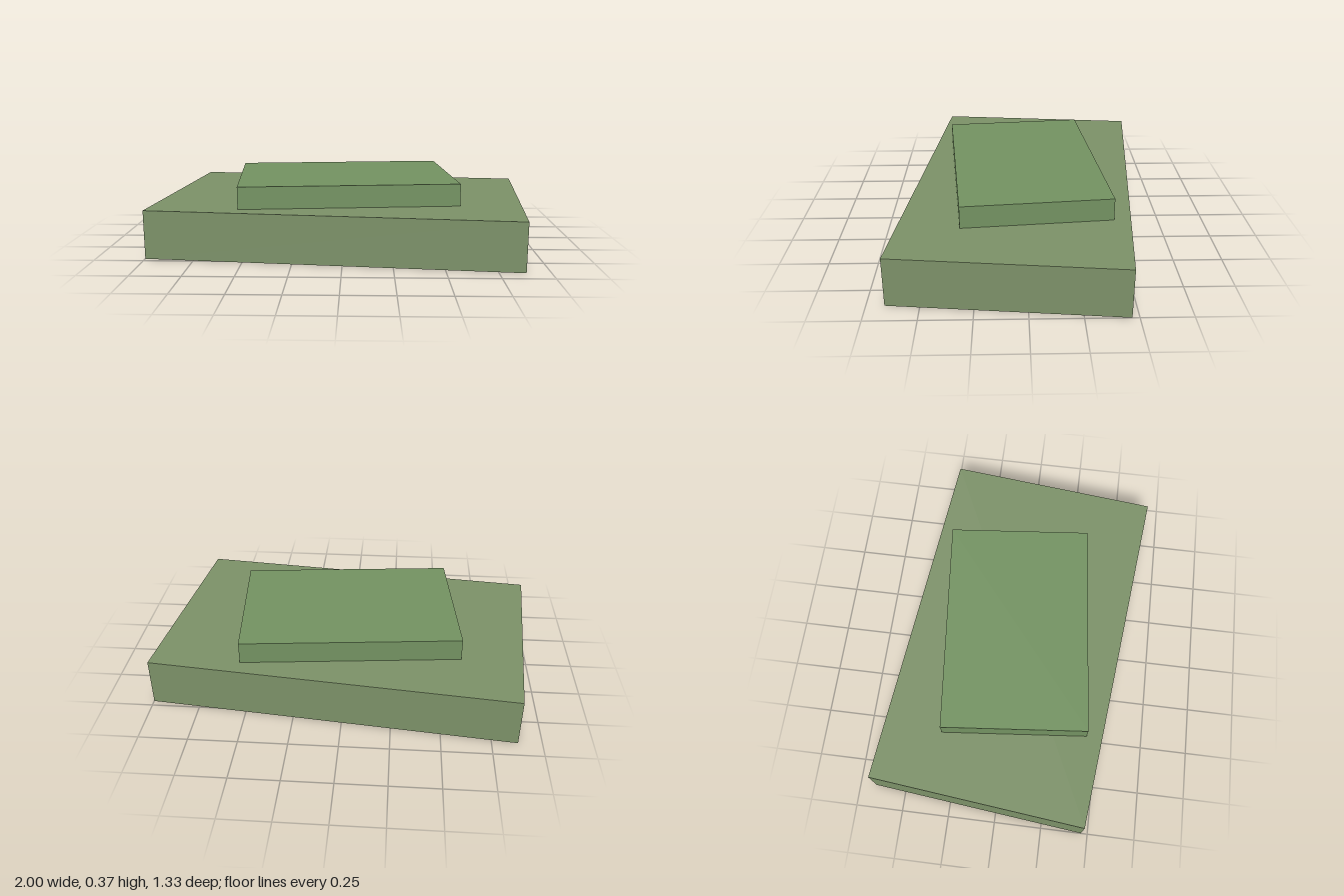
import * as THREE from 'three';

// A box resting on height y, turned about the vertical axis
function slab(name, width, height, depth, y, turn, color) {
  const mesh = new THREE.Mesh(
    new THREE.BoxGeometry(width, height, depth),
    new THREE.MeshStandardMaterial({ color })
  );
  mesh.name = name;
  mesh.position.y = y + height / 2;
  mesh.rotation.y = turn;
  return mesh;
}

export function createModel() {
  const group = new THREE.Group();
  group.name = 'steppedSlabs';

  // Wide lower slab, and a smaller one on top turned the other way
  group.add(slab('lowerSlab', 1.89, 0.25, 1.136, 0, -0.105, 0x7c9168));
  group.add(slab('upperSlab', 1.135, 0.115, 0.76, 0.25, 0.0945, 0x739261));

  return group;
}
